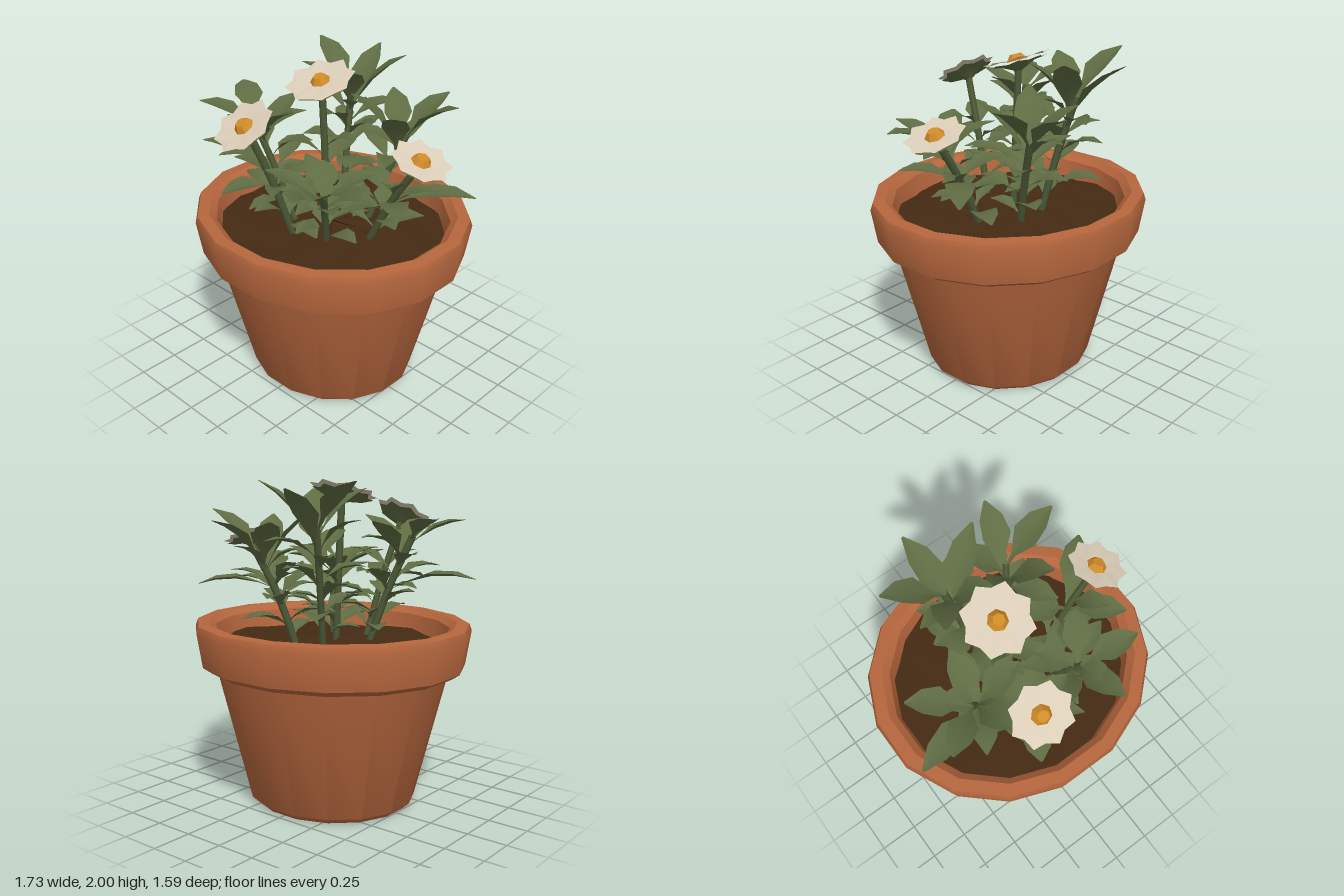
import * as THREE from 'three';
import { mergeGeometries, toCreasedNormals } from 'three/addons/utils/BufferGeometryUtils.js';

const V = (x, y, z) => new THREE.Vector3(x, y, z);
const mat = (name, color, side = THREE.FrontSide) => {
  const m = new THREE.MeshStandardMaterial({ color, side });
  m.name = name;
  return m;
};
const add = (parent, name, geometry, material) => {
  const mesh = new THREE.Mesh(geometry, material);
  mesh.name = name;
  parent.add(mesh);
  return mesh;
};

// Skin rows of equally many points into a surface
function skin(rows) {
  const n = rows[0].length, index = [];
  for (let r = 0; r < rows.length - 1; r++) {
    for (let i = 0; i < n - 1; i++) {
      const a = r * n + i, b = a + n;
      index.push(a, b, a + 1, b, b + 1, a + 1);
    }
  }
  const g = new THREE.BufferGeometry().setFromPoints(rows.flat());
  g.setIndex(index);
  g.computeVertexNormals();
  return g;
}

// Arched leaf, folded along its midrib, from base to tip
function leaf(base, tip, width, arch) {
  const dir = tip.clone().sub(base), len = dir.length();
  const side = V(dir.z, 0, -dir.x).normalize();
  const up = dir.clone().cross(side).normalize();
  const outline = [[0, 0.08], [0.22, 0.2], [0.52, 1], [0.78, 0.8], [1, 0.08]];
  return skin(outline.map(([t, w]) => {
    const mid = base.clone().lerp(tip, t).addScaledVector(up, arch * len * 4 * t * (1 - t));
    return [-1, 0, 1].map(s => mid.clone()
      .addScaledVector(side, s * w * width)
      .addScaledVector(up, s ? 0.28 * w * width : 0));
  }));
}

// Star-edged disc given as [radius, height, edge scallop] rings
function star(rings) {
  return skin(rings.map(([r, y, scallop]) => Array.from({ length: 17 }, (_, i) => {
    const a = i / 16 * Math.PI * 2, dip = i % 2 ? scallop : 0;
    return V(Math.sin(a) * r * (1 - dip), y - dip * r * 0.3, Math.cos(a) * r * (1 - dip));
  })));
}

// Stem top, number of loose leaves, and a flower (radius, facing) or a crown of leaves (turn, rise)
const PLANTS = [
  { name: 'centreFlowerPlant', top: V(-0.08, 1.88, 0), count: 7, flower: { r: 0.21, normal: V(0, 1, 0.35) } },
  { name: 'frontFlowerPlant', top: V(-0.17, 1.73, 0.5), count: 9, flower: { r: 0.19, normal: V(-0.1, 1, 0.7) },
    tips: [V(-0.25, 1.36, 0.65)] },
  { name: 'leftFlowerPlant', top: V(0.63, 1.59, -0.03), count: 8, flower: { r: 0.18, normal: V(0.4, 1, 0) },
    tips: [V(0.8, 1.33, -0.36), V(0.7, 1.38, 0.22)] },
  { name: 'rightLeafPlant', top: V(-0.43, 1.66, 0.24), count: 11, crown: { turn: -2.16, rise: 0.1 },
    tips: [V(-0.82, 1.42, 0.32)] },
  { name: 'backLeafPlant', top: V(-0.18, 1.74, -0.36), count: 15, crown: { turn: -1.78, rise: 0.22 } },
  { name: 'backLeftLeafPlant', top: V(0.26, 1.56, -0.38), count: 11, crown: { turn: 1.65, rise: 0.22 } },
  { name: 'frontLeftLeafPlant', top: V(0.27, 1.42, 0.35), count: 11, crown: { turn: 1.4, rise: 0.1 } },
];

export function createModel() {
  const model = new THREE.Group();
  model.name = 'pottedFlowers';
  const clay = mat('terracotta', 0xb5663d), earth = mat('soil', 0x442a13);
  const green = mat('leafGreen', 0x5f6c43, THREE.DoubleSide), stemGreen = mat('stemGreen', 0x4d5a37);
  const cream = mat('petalCream', 0xdacdb8, THREE.DoubleSide), amber = mat('flowerAmber', 0xd08b28);

  // Slightly oval pot: tapered body and overhanging rounded rim
  const pot = new THREE.Group();
  pot.name = 'pot';
  pot.scale.z = 0.92;
  model.add(pot);
  const turned = pts => toCreasedNormals(
    new THREE.LatheGeometry(pts.map(p => new THREE.Vector2(...p)), 16, 0.2), 0.65);
  add(pot, 'potBody', turned([[0, 0], [0.5, 0], [0.54, 0.035], [0.755, 0.87]]), clay);
  add(pot, 'potRim', turned([[0.74, 0.86], [0.79, 0.845], [0.845, 0.88], [0.88, 1.09],
    [0.865, 1.13], [0.79, 1.135], [0.745, 1.1], [0.71, 0.94]]), clay);

  // Uneven soil
  const soilRows = Array.from({ length: 5 }, (_, k) => Array.from({ length: 25 }, (_, i) => {
    const a = i / 24 * Math.PI * 2, r = 0.001 + k * 0.182;
    return V(Math.sin(a) * r, 1.02 - k * 0.006 + 0.014 * Math.sin(a * 7 + k * 2.3), Math.cos(a) * r);
  }));
  add(pot, 'soil', skin(soilRows), earth);

  PLANTS.forEach(({ name, top, count, flower, crown, tips = [] }, k) => {
    const plant = new THREE.Group();
    plant.name = name;
    model.add(plant);

    // Stems lean outward from the middle of the pot
    const root = V(top.x * 0.45, 0.98, top.z * 0.5);
    const bend = root.clone().lerp(top, 0.5).add(V(0, 0.04, 0));
    const curve = new THREE.CatmullRomCurve3([root, bend, top]);
    add(plant, 'stem', new THREE.TubeGeometry(curve, 8, 0.022, 6), stemGreen);

    // Long side leaves
    const leaves = tips.map(tip => leaf(curve.getPoint(0.45), tip, 0.085, 0.1));

    // Crown of broad leaves at the stem top
    for (let i = 0; crown && i < 5; i++) {
      const a = crown.turn + i * 1.26, reach = 0.34 - 0.03 * (i % 3);
      const tip = top.clone().add(V(Math.sin(a) * reach, crown.rise * (1 + 0.15 * Math.cos(i * 2)), Math.cos(a) * reach));
      leaves.push(leaf(curve.getPoint(0.94 - 0.05 * i), tip, 0.085, 0.08));
    }

    // Spiral of loose leaves up the stem
    for (let i = 0; i < count; i++) {
      const t = 0.1 + (flower ? 0.5 : 0.75) * i / count, a = i * 2.4 + k * 1.3;
      const base = curve.getPoint(t);
      const reach = 0.3 * (0.9 + 0.2 * Math.sin(i * 5 + k));
      const tip = base.clone().add(V(Math.sin(a) * reach, 0.06 + 0.14 * t + 0.04 * Math.sin(i * 3), Math.cos(a) * reach));
      // Keep leaves inside the rim
      const shrink = Math.min(1, 0.72 / Math.hypot(tip.x, tip.z / 0.92));
      tip.multiply(V(shrink, 1, shrink));
      leaves.push(leaf(base, tip, 0.07 + 0.012 * Math.sin(i * 2 + k), 0.14));
    }
    add(plant, 'leaves', mergeGeometries(leaves), green);

    // Flower head: petals, green underside and centre
    if (flower) {
      const { r } = flower, normal = flower.normal.clone().normalize(), head = new THREE.Group();
      head.name = 'flower';
      head.position.copy(top).addScaledVector(normal, 0.035);
      head.quaternion.setFromUnitVectors(V(0, 1, 0), normal);
      plant.add(head);
      add(head, 'petals', star([[0.02, 0, 0], [r * 0.55, 0.01, 0.04], [r, 0.015, 0.17]]), cream);
      add(head, 'calyx', star([[0.02, -0.06, 0], [r * 0.5, -0.02, 0.04], [r * 0.9, -0.006, 0.17]]), green);
      add(head, 'flowerCentre', toCreasedNormals(new THREE.CylinderGeometry(0.035, 0.065, 0.04, 7), 0.4), amber)
        .position.y = 0.018;
    }
  });
  return model;
}
